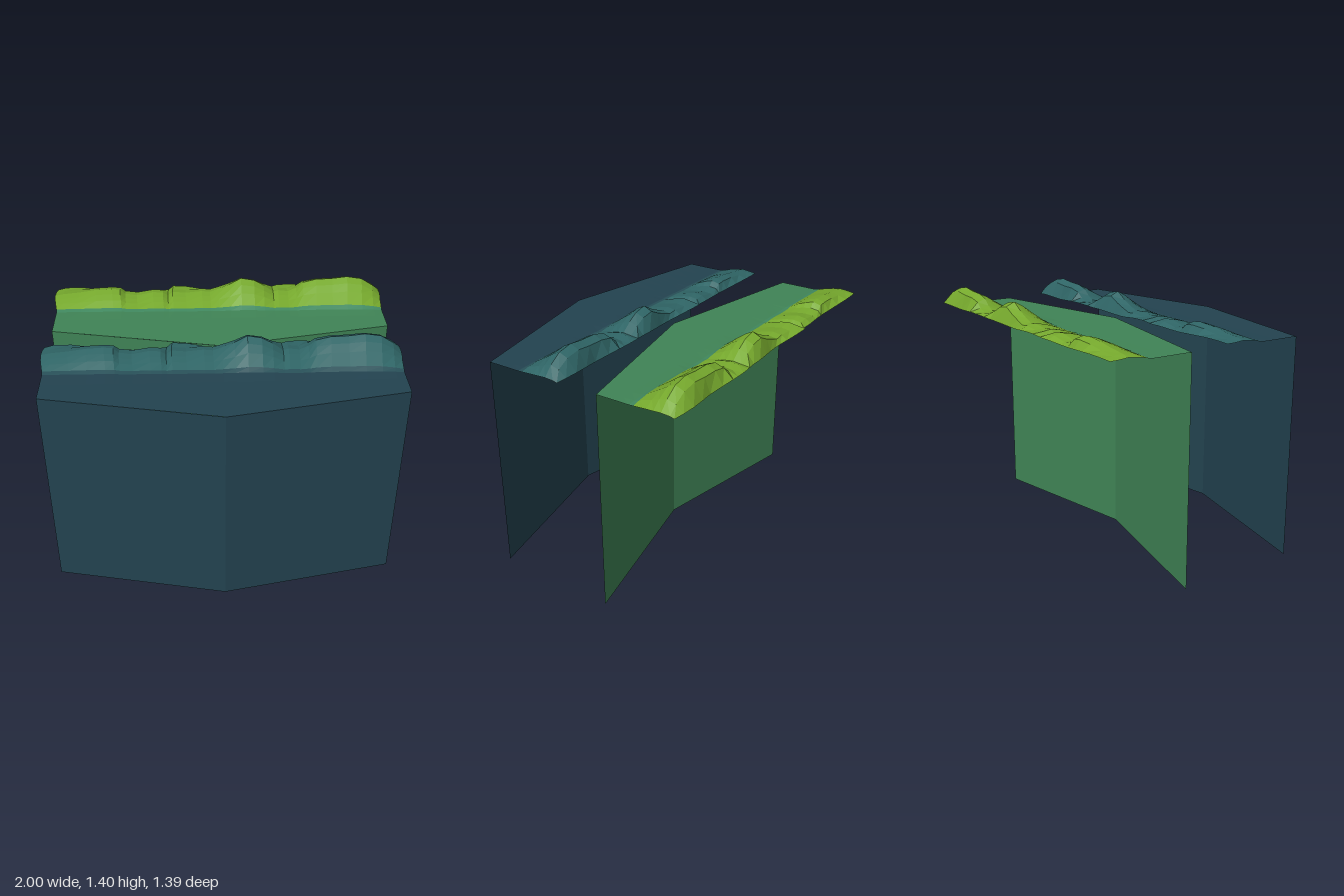
import * as THREE from 'three';

// Ridge stations along the width: x, crest height, z of the back lip
const STATIONS = [
  [-1, 1.305, 0.015], [-0.95, 1.315, 0.003], [-0.85, 1.325, 0.002], [-0.75, 1.34, 0.015],
  [-0.65, 1.346, 0.028], [-0.6, 1.34, 0.036], [-0.57, 1.312, 0.038], [-0.5, 1.30, 0.036],
  [-0.4, 1.32, 0.025], [-0.34, 1.315, 0.03], [-0.31, 1.296, 0.024], [-0.28, 1.32, 0],
  [-0.2, 1.312, 0.004], [-0.1, 1.322, 0.022], [-0.05, 1.316, 0.035], [0, 1.335, 0.04],
  [0.07, 1.365, 0.036], [0.14, 1.405, 0.025], [0.22, 1.39, 0.016], [0.28, 1.355, 0.02],
  [0.34, 1.31, 0.012], [0.37, 1.32, 0.004], [0.43, 1.312, 0], [0.48, 1.335, 0.002],
  [0.52, 1.37, 0.006], [0.6, 1.39, 0.018], [0.7, 1.394, 0.03], [0.79, 1.405, 0.018],
  [0.88, 1.39, 0.01], [0.95, 1.345, 0.02], [1, 1.295, 0.04],
];
const TOP = 1.278;
const DEPTH = 0.695; // z of the wall's middle fold
const frontZ = (x) => DEPTH - 0.195 * Math.abs(x);

// Skin between successive rows of points
function loft(rows) {
  const n = rows[0].length;
  const index = [];
  for (let r = 0; r < rows.length - 1; r++) {
    for (let c = 0; c < n - 1; c++) {
      const a = r * n + c, d = a + n;
      index.push(a, a + 1, d + 1, a, d + 1, d);
    }
  }
  const g = new THREE.BufferGeometry();
  g.setAttribute('position', new THREE.Float32BufferAttribute(rows.flat(2), 3));
  g.setIndex(index);
  const flat = g.toNonIndexed();
  flat.computeVertexNormals();
  return flat;
}

// Cross-section rows from the flat ledge back over the crest to the lip
function ridgeRows() {
  const row = (widen, fn) => STATIONS.map(([x, crest, lip]) => {
    const [y, z] = fn(x, crest - 1.275, lip);
    return [x * widen + 0.003 * (1 - widen) / 0.02, y, z];
  });
  const rise = (widen, z, f) => row(widen, (x, h) => [1.275 + h * f, z + 0.018 * x * (z > 0.23 ? 1 : 0)]);
  return [
    row(0.98, (x) => [TOP, frontZ(x)]),
    row(0.98, () => [1.277, 0.37]),
    rise(0.98, 0.288, 0.06),
    rise(0.983, 0.26, 0.19),
    rise(0.99, 0.2, 0.57),
    rise(0.997, 0.155, 0.82),
    rise(1, 0.11, 1),
    rise(1, 0.06, 0.82),
    row(0.993, (x, h, lip) => [Math.min(1.305 - 0.6 * lip, 1.275 + 0.8 * h), lip]),
  ];
}

function material(name, color) {
  const m = new THREE.MeshStandardMaterial({ color, side: THREE.DoubleSide, flatShading: true });
  m.name = name;
  return m;
}

// One folded wall with its ledge and overhanging ridge
function cliff(name, bottom, wallMat, bandMat, ridgeMat) {
  const group = new THREE.Group();
  group.name = name;
  const add = (part, rows, mat) => {
    const mesh = new THREE.Mesh(loft(rows), mat);
    mesh.name = part;
    group.add(mesh);
  };
  const edge = [[-0.977, 0.5], [0, DEPTH], [0.983, 0.5]];
  add('wall', [bottom, TOP].map((y) => edge.map(([x, z]) => [x, y, z])), wallMat);
  const rows = ridgeRows();
  add('ledge', rows.slice(0, 3), wallMat);
  add('ridgeFoot', rows.slice(2, 4), bandMat);
  add('ridge', rows.slice(3), ridgeMat);
  return group;
}

export function createModel() {
  const model = new THREE.Group();
  model.name = 'cliffs';
  const front = cliff('frontCliff', 0.022,
    material('deep slate', 0x234350), material('slate teal', 0x285058), material('teal', 0x2f6566));
  const back = cliff('backCliff', 0,
    material('forest green', 0x408456), material('sea green', 0x40885f), material('lime green', 0x76a92d));
  back.position.z = -DEPTH;
  model.add(front, back);
  return model;
}
